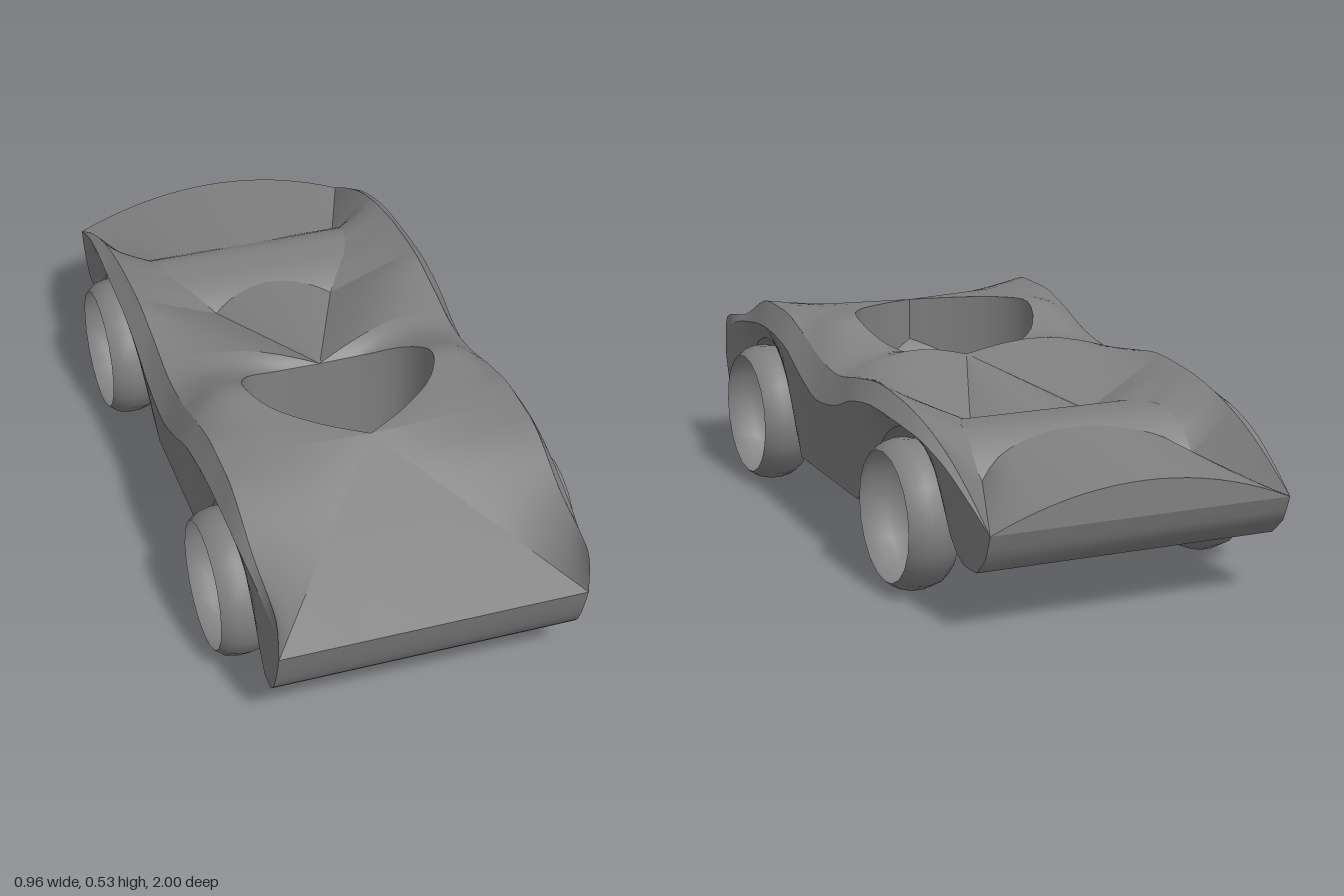
import * as THREE from 'three';
import { toCreasedNormals } from 'three/addons/utils/BufferGeometryUtils.js';

const skin = new THREE.MeshStandardMaterial({ color: 0x808080, side: THREE.DoubleSide });
const { lerp } = THREE.MathUtils;
const V = (x, y, z) => new THREE.Vector3(x, y, z);
const spline = (...p) => new THREE.CatmullRomCurve3(p.map(a => V(...a)));
const line = (a, b) => new THREE.LineCurve3(V(...a), V(...b));

// Smooth height profile through [z, value] pairs (z falling), without overshoot
function profile(pts) {
  const d = pts.slice(1).map((p, i) => (p[1] - pts[i][1]) / (p[0] - pts[i][0]));
  const m = pts.map((p, i) => {
    if (i === 0) return d[0];
    if (i === pts.length - 1) return d[i - 1];
    return d[i - 1] * d[i] <= 0 ? 0 : 2 * d[i - 1] * d[i] / (d[i - 1] + d[i]);
  });
  return z => {
    let i = 0;
    while (i < pts.length - 2 && z < pts[i + 1][0]) i++;
    const h = pts[i + 1][0] - pts[i][0], t = (z - pts[i][0]) / h, s = 1 - t;
    return (1 + 2 * t) * s * s * pts[i][1] + t * s * s * h * m[i]
      + t * t * (3 - 2 * t) * pts[i + 1][1] - t * t * s * h * m[i + 1];
  };
}

// Surface from a function f(u, v) -> Vector3, with u and v from 0 to 1
function sheet(name, f, nu, nv) {
  const pos = [], idx = [];
  for (let i = 0; i <= nu; i++) for (let j = 0; j <= nv; j++) pos.push(...f(i / nu, j / nv).toArray());
  for (let i = 0; i < nu; i++) for (let j = 0; j < nv; j++) {
    const a = i * (nv + 1) + j, b = a + nv + 1;
    idx.push(a, b, a + 1, b, b + 1, a + 1);
  }
  const g = new THREE.BufferGeometry();
  g.setAttribute('position', new THREE.Float32BufferAttribute(pos, 3));
  g.setIndex(idx);
  const mesh = new THREE.Mesh(toCreasedNormals(g, 0.6), skin);
  mesh.name = name;
  return mesh;
}

// Side lines of the body as functions of z
const sill = profile([[1, .28], [.985, .23], [.96, .165], [.93, .125], [.88, .125], [.82, .2], [.74, .33], [.67, .39],
  [.6, .41], [.53, .405], [.47, .37], [.4, .28], [.36, .19], [.32, .125], [-.12, .125], [-.2, .2], [-.27, .29],
  [-.35, .37], [-.45, .41], [-.55, .415], [-.65, .37], [-.72, .27], [-.78, .19], [-.85, .16], [-.92, .165],
  [-.97, .21], [-1, .28]]);
const crease = profile([[1, .28], [.99, .32], [.97, .355], [.8, .42], [.5, .465], [.35, .45], [.2, .39], [.08, .355],
  [-.05, .37], [-.2, .42], [-.35, .44], [-.6, .43], [-.75, .4], [-.9, .335], [-1, .28]]);
const crest = profile([[1, .28], [.995, .36], [.97, .4], [.8, .44], [.57, .525], [.45, .525], [.3, .495], [.15, .45],
  [.03, .435], [-.15, .465], [-.3, .485], [-.45, .478], [-.6, .455], [-.75, .41], [-.87, .355], [-1, .28]]);
const HALF = .405;
const creaseX = z => HALF + .04 * (1 - Math.abs(z) ** 3);

// Stations along the body, closer together at nose and tail
const keys = [1, .995, .985, .97, .95, .93, .88, .32, -.12, -.97, -.985, -1];
for (let i = -23; i <= 23; i++) keys.push(i * .04);
keys.sort((a, b) => b - a);
const NZ = keys.length - 1, station = u => keys[Math.round(u * NZ)];

// Inner border of the top skin; its rear part lies on the rear wheel tunnel
const onTunnel = (x, z) => [x, sill(z), z];
const apex = [0, .44, .08];
const rim = spline([0, .51, .5], [.12, .52, .43], [.22, .53, .34], [.26, .532, .24], [.22, .48, .13], [.13, .445, .085], apex);
const tunnelEdge = spline(onTunnel(.17, -.34), onTunnel(.22, -.41), onTunnel(.26, -.48), onTunnel(.28, -.55),
  onTunnel(.29, -.62), onTunnel(.29, -.69));
// curve, outer z at start and end, swelling at start and end
const border = [
  [line([HALF, .28, 1], [0, .51, .5]), 1, .5, 0, 0],
  [rim, .5, -.05, 0, .04],
  [line(apex, onTunnel(.17, -.34)), -.05, -.3, .04, 0],
  [tunnelEdge, -.3, -.7, 0, 0],
  [line(onTunnel(.29, -.69), [HALF, .28, -1]), -.7, -1, 0, 0],
];

function buildBody() {
  const body = new THREE.Group();
  body.name = 'body';
  for (const s of [1, -1]) {
    const side = s > 0 ? 'left' : 'right';
    const flip = v => (s > 0 ? v : 1 - v);
    // flanks below and above the waist crease
    body.add(sheet(side + 'Flank', (u, w) => {
      const z = station(u), v = flip(w);
      return V(s * lerp(HALF, creaseX(z), v), lerp(sill(z), crease(z), v), z);
    }, NZ, 4));
    body.add(sheet(side + 'Shoulder', (u, w) => {
      const z = station(u), v = flip(w);
      return V(s * lerp(creaseX(z), HALF, v), lerp(crease(z), crest(z), v), z);
    }, NZ, 3));
    // top skin from fender crest to inner border
    for (const [curve, z0, z1, swell0, swell1] of border) {
      body.add(sheet(side + 'Fender', (u, w) => {
        const e = z0 === 1 ? u * u : u, v = flip(w), z = lerp(z0, z1, e);
        const p = V(HALF, crest(z), z).lerp(curve.getPoint(e), v);
        p.y += lerp(swell0, swell1, e) * Math.sin(Math.PI * v);
        p.x *= s;
        return p;
      }, 24, 8));
    }
    // cockpit wall down to the floor pan
    body.add(sheet(side + 'CockpitWall', (u, w) => {
      const p = rim.getPoint(u);
      return V(s * p.x, lerp(p.y, sill(p.z), flip(w)), p.z);
    }, 36, 2));
  }
  // flat hood wedge
  body.add(sheet('hood', (u, v) => V((2 * v - 1) * HALF * (1 - u), .28 + .23 * u, 1 - .5 * u), 4, 4));
  // cowl widening from the cockpit to the rear wheel tunnel
  body.add(sheet('cowl', (u, w) => {
    const v = 2 * w - 1;
    return V(...apex).lerp(V(...onTunnel(.17 * v, -.4 + .06 * v * v)), u);
  }, 8, 16));
  // rear deck and its arched tail face
  const tailArc = v => V(HALF * v, .37 - .09 * v * v, -1);
  body.add(sheet('rearDeck', (u, w) => {
    const v = 2 * w - 1;
    return V(...onTunnel(.29 * v, -.6 - .09 * v * v)).lerp(tailArc(v), u);
  }, 8, 20));
  body.add(sheet('tailFace', (u, w) => {
    const v = 2 * w - 1;
    return tailArc(v).lerp(V(HALF * v, .28, -1), u);
  }, 1, 20));
  // nose panel, floor pan and wheel tunnels in one sheet
  body.add(sheet('underside', (u, v) => {
    const z = station(u);
    return V((2 * v - 1) * HALF, sill(z), z);
  }, NZ, 1));
  return body;
}

// Open barrel-shaped tyre rings
function buildWheels() {
  const wheels = new THREE.Group();
  wheels.name = 'wheels';
  const section = [[.17, -.068], [.188, -.045], [.195, -.015], [.195, .015], [.188, .045], [.17, .068]];
  const g = new THREE.LatheGeometry(section.map(p => new THREE.Vector2(...p)), 20).rotateZ(Math.PI / 2);
  for (const [end, z] of [['front', .585], ['rear', -.505]]) for (const s of [1, -1]) {
    const wheel = new THREE.Mesh(g, skin);
    wheel.name = end + (s > 0 ? 'Left' : 'Right') + 'Wheel';
    wheel.position.set(s * .412, .196, z);
    wheels.add(wheel);
  }
  return wheels;
}

export function createModel() {
  const car = new THREE.Group();
  car.name = 'car';
  car.add(buildBody(), buildWheels());
  return car;
}
